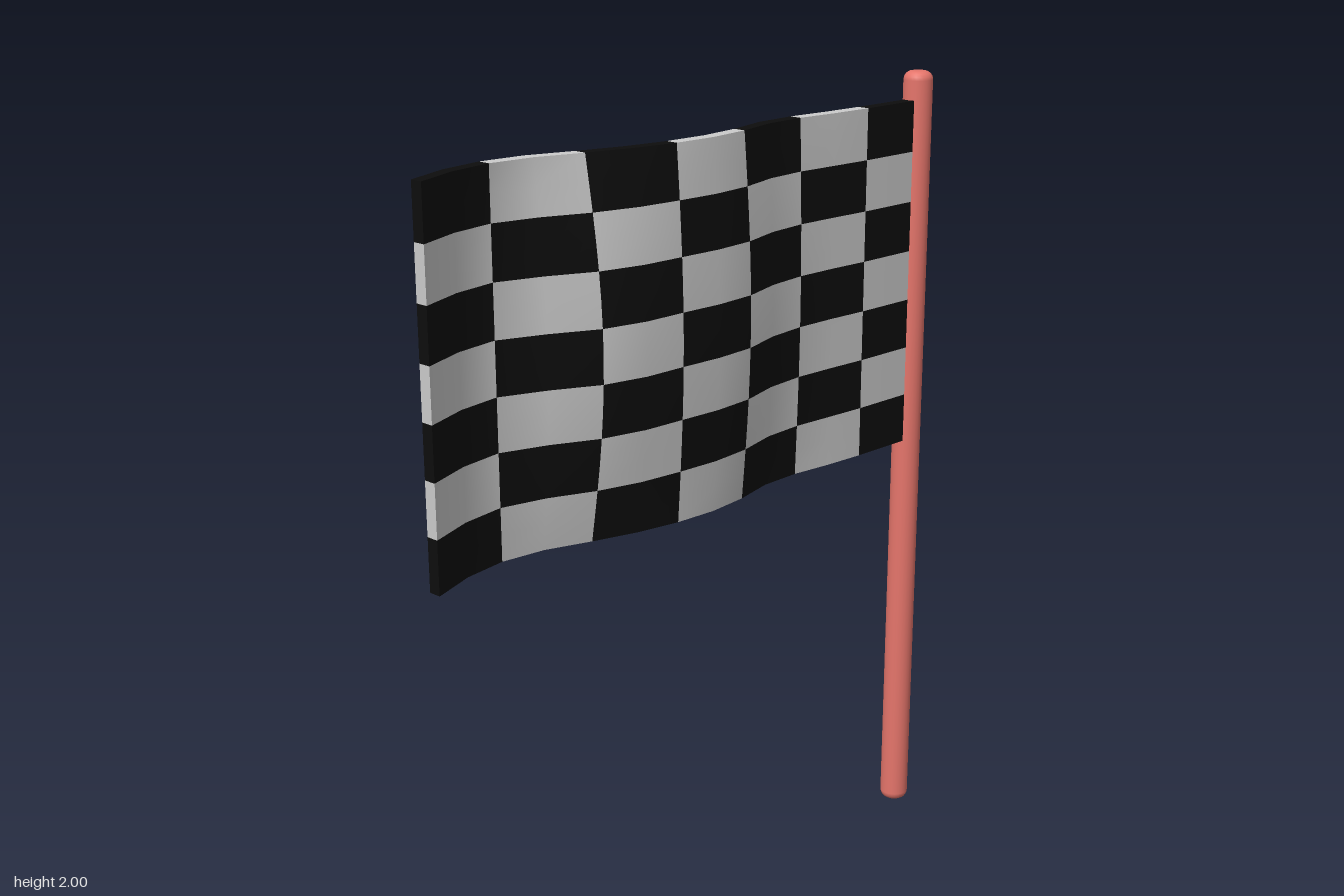
import * as THREE from 'three';

const COLS = 7, ROWS = 7, SUB = 2;
const NU = COLS * SUB, NV = ROWS * SUB;
const X0 = -0.81, X1 = 0.79, Y0 = 1.05, Y1 = 1.93, HALF = 0.016;

// Wave of the cloth along its length, and how far its middle billows forward
const WAVE = [0.005, -0.04, -0.06, -0.05, -0.015, 0.015, 0.032, 0.035, 0.02, -0.01, -0.015, -0.005, 0, 0, 0];
const BILLOW = [0, 0, 0, 0.03, 0.048, 0.038, 0.02, 0.02, 0.025, 0.02, 0.01, 0, 0, 0, 0];

// Grid point of the cloth; side is +1 for the front, -1 for the back
function clothPoint(i, j, side) {
  const v = j / NV;
  return [
    X0 + (X1 - X0) * i / NU,
    Y0 + (Y1 - Y0) * v,
    WAVE[i] + BILLOW[i] * Math.sin(Math.PI * v) + side * HALF,
  ];
}

function createCloth() {
  const positions = [];
  const indices = [[], []]; // dark cells, light cells

  // Adds a smooth sheet of nu x nv quads; cell(u, v) gives its cloth grid cell
  function addSheet(nu, nv, point, cell) {
    const start = positions.length / 3;
    for (let v = 0; v <= nv; v++)
      for (let u = 0; u <= nu; u++) positions.push(...point(u, v));
    for (let v = 0; v < nv; v++)
      for (let u = 0; u < nu; u++) {
        const [i, j] = cell(u, v);
        const shade = (Math.floor(i / SUB) + Math.floor(j / SUB)) % 2;
        const a = start + v * (nu + 1) + u, d = a + nu + 1;
        indices[shade].push(a, a + 1, d + 1, a, d + 1, d);
      }
  }

  // Front and back faces
  addSheet(NU, NV, (u, v) => clothPoint(u, v, 1), (u, v) => [u, v]);
  addSheet(NU, NV, (u, v) => clothPoint(NU - u, v, -1), (u, v) => [NU - 1 - u, v]);
  // Top, bottom, free end and pole end rims
  addSheet(NU, 1, (u, v) => clothPoint(u, NV, 1 - 2 * v), (u) => [u, NV - 1]);
  addSheet(NU, 1, (u, v) => clothPoint(u, 0, 2 * v - 1), (u) => [u, 0]);
  addSheet(1, NV, (u, v) => clothPoint(0, v, 2 * u - 1), (u, v) => [0, v]);
  addSheet(1, NV, (u, v) => clothPoint(NU, v, 1 - 2 * u), (u, v) => [NU - 1, v]);

  // Normals come from the whole cloth so shading runs across the checks
  const whole = new THREE.BufferGeometry();
  whole.setAttribute('position', new THREE.Float32BufferAttribute(positions, 3));
  whole.setIndex([...indices[0], ...indices[1]]);
  whole.computeVertexNormals();

  const cloth = new THREE.Group();
  cloth.name = 'flagCloth';
  const colors = [0x0d0d0d, 0xcccccc], names = ['darkChecks', 'lightChecks'];
  indices.forEach((index, k) => {
    const geometry = new THREE.BufferGeometry();
    geometry.setAttribute('position', whole.getAttribute('position'));
    geometry.setAttribute('normal', whole.getAttribute('normal'));
    geometry.setIndex(index);
    const mesh = new THREE.Mesh(geometry, new THREE.MeshStandardMaterial({ color: colors[k] }));
    mesh.name = names[k];
    cloth.add(mesh);
  });
  return cloth;
}

// Round pole with softened ends
function createPole() {
  const radius = 0.037, height = 2, round = 0.022;
  const profile = [new THREE.Vector2(0, 0)];
  for (const [cy, from] of [[round, -Math.PI / 2], [height - round, 0]])
    for (let k = 0; k <= 4; k++) {
      const a = from + (k / 4) * Math.PI / 2;
      profile.push(new THREE.Vector2(radius - round + round * Math.cos(a), cy + round * Math.sin(a)));
    }
  profile.push(new THREE.Vector2(0, height));
  const pole = new THREE.Mesh(
    new THREE.LatheGeometry(profile, 24),
    new THREE.MeshStandardMaterial({ color: 0xe5756b }),
  );
  pole.name = 'pole';
  pole.position.x = 0.77;
  return pole;
}

export function createModel() {
  const model = new THREE.Group();
  model.name = 'checkeredFlag';
  model.add(createPole(), createCloth());
  return model;
}
